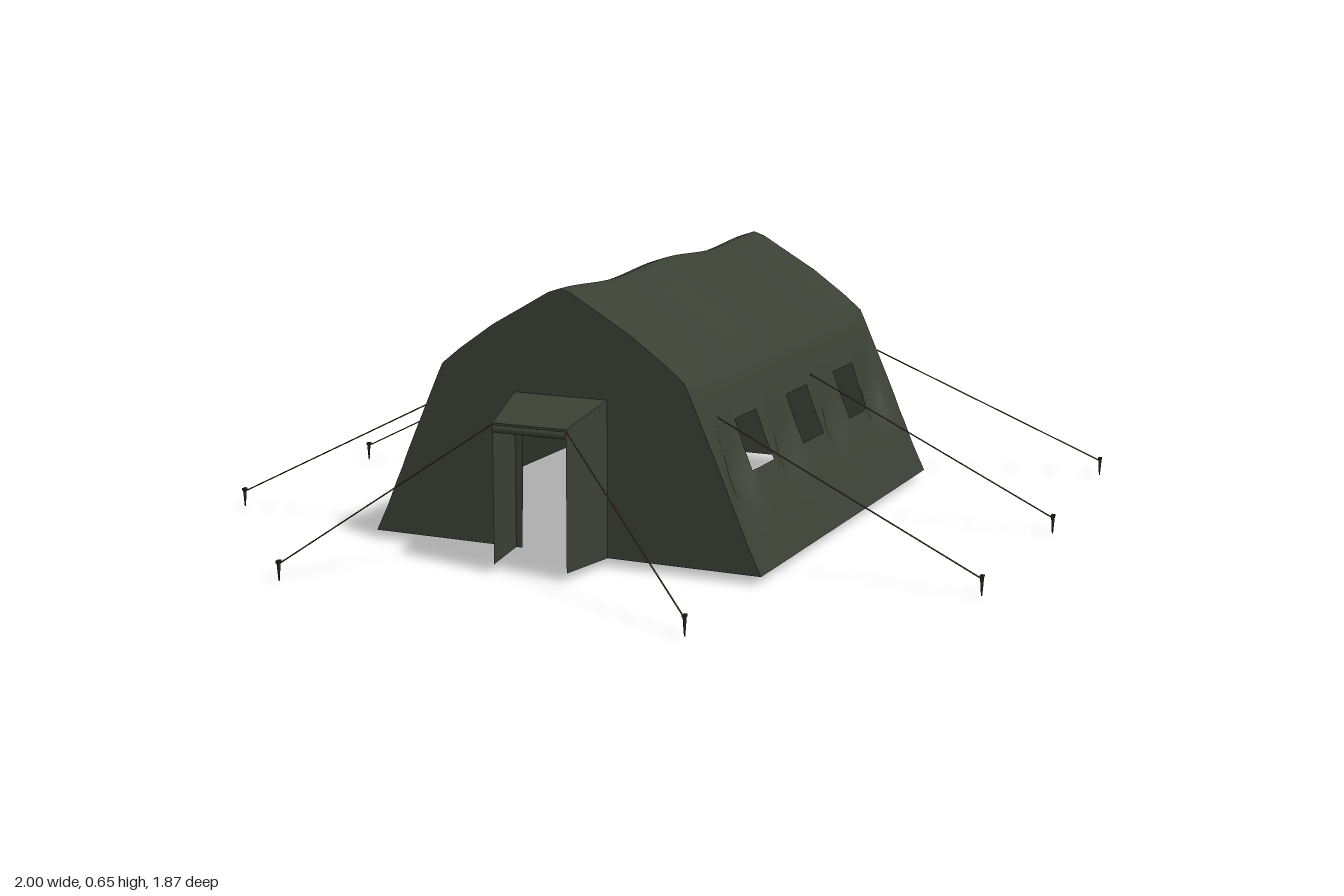
import * as THREE from 'three';

const canvas = new THREE.MeshStandardMaterial({ color: 0x3a4034, side: THREE.DoubleSide });
canvas.name = 'olive canvas';
const rope = new THREE.MeshStandardMaterial({ color: 0x4a3826 });
rope.name = 'brown rope';
const iron = new THREE.MeshStandardMaterial({ color: 0x2b2622 });
iron.name = 'dark iron';

const FRONT = 0.495, BACK = -0.7, BASE = 0.02;
// half of the cross-section, from ridge to ground
const HALF = [[0, 0.655], [0.03, 0.645], [0.09, 0.61], [0.18, 0.558], [0.27, 0.494], [0.318, 0.455],
  [0.33, 0.43], [0.35, 0.385], [0.37, 0.34], [0.397, 0.28], [0.423, 0.22], [0.437, 0.185],
  [0.453, 0.15], [0.478, 0.09], [0.512, BASE]];
const PROFILE = [...HALF.slice(1).reverse().map(([x, y]) => [-x, y]), ...HALF];
const WINDOWS = [[0.3, 0.17], [-0.03, -0.17], [-0.367, -0.512]];

function mesh(name, geometry, material) {
  const m = new THREE.Mesh(geometry, material);
  m.name = name;
  return m;
}

const bump = (v, centre, width) => {
  const t = Math.max(0, 1 - Math.abs(v - centre) / width);
  return t * t * (3 - 2 * t);
};

// smooth grid surface; skip(i, j) leaves a cell open
function grid(rows, cols, point, skip = () => false) {
  const pos = [], index = [];
  for (let j = 0; j < cols; j++) for (let i = 0; i < rows; i++) pos.push(...point(i, j));
  for (let j = 0; j < cols - 1; j++) for (let i = 0; i < rows - 1; i++) {
    if (skip(i, j)) continue;
    const a = j * rows + i, b = a + 1, c = a + rows, d = c + 1;
    index.push(a, b, c, b, d, c);
  }
  const g = new THREE.BufferGeometry();
  g.setAttribute('position', new THREE.Float32BufferAttribute(pos, 3));
  g.setIndex(index);
  g.computeVertexNormals();
  return g;
}

// roof and side walls: sagging ridge, walls drawn in between the gables
function shellGeometry() {
  const stops = [FRONT, 0.475, 0.44, 0.4, 0.35, ...WINDOWS.flat(), -0.56, -0.61, -0.65, -0.68, BACK];
  stops.sort((a, b) => b - a);
  const zs = [];
  stops.forEach((z, k) => {
    const next = stops[k + 1], n = next === undefined ? 1 : Math.ceil((z - next) / 0.04);
    for (let s = 0; s < n; s++) zs.push(next === undefined ? z : z + (next - z) * s / n);
  });
  const pockets = [0.37, 0.06, -0.27, -0.57];
  const point = (i, j) => {
    const [x, y] = PROFILE[i], z = zs[j];
    const edge = Math.min(1, Math.min(FRONT - z, z - BACK) / 0.09);
    const inward = edge * edge * (3 - 2 * edge);
    const sag = 0.014 * Math.sin(2 * Math.PI * (FRONT - z) / (FRONT - BACK)) ** 2;
    let pull = 0.012 * bump(y, 0.25, 0.2);
    for (const p of pockets) pull += 0.025 * bump(z, p, 0.09) * bump(y, 0.23, 0.1);
    const roof = 0.008 * bump(y, 0.5, 0.13);
    return [x - Math.sign(x) * inward * pull, y - sag * bump(y, 0.655, 0.25) - inward * roof, z];
  };
  const skip = (i, j) => {
    const y = (PROFILE[i][1] + PROFILE[i + 1][1]) / 2, z = (zs[j] + zs[j + 1]) / 2;
    return y > 0.22 && y < 0.34 && WINDOWS.some(([a, b]) => z < a && z > b);
  };
  return grid(PROFILE.length, zs.length, point, skip);
}

function gableGeometry(door) {
  const s = new THREE.Shape();
  PROFILE.forEach(([x, y], k) => (k ? s.lineTo(x, y) : s.moveTo(x, y)));
  if (door) for (const [x, y] of [[0.105, BASE], [0.1, 0.36], [-0.1, 0.36], [-0.105, BASE]]) s.lineTo(x, y);
  return new THREE.ShapeGeometry(s);
}

// guy line with an iron peg at its ground end
function guyLine(from, to) {
  const g = new THREE.Group();
  g.name = 'guyLine';
  const curve = new THREE.LineCurve3(new THREE.Vector3(...from), new THREE.Vector3(...to));
  g.add(mesh('cord', new THREE.TubeGeometry(curve, 1, 0.0018, 6), rope));
  const peg = mesh('peg', new THREE.CylinderGeometry(0.005, 0.0015, 0.046, 8), iron);
  peg.position.set(to[0], 0.023, to[2]);
  const head = mesh('pegHead', new THREE.BoxGeometry(0.008, 0.006, 0.014), iron);
  head.position.set(to[0], 0.046, to[2]);
  g.add(peg, head);
  return g;
}

export function createModel() {
  const tent = new THREE.Group();
  tent.name = 'tent';
  tent.add(mesh('roofAndWalls', shellGeometry(), canvas));

  const front = mesh('frontGable', gableGeometry(true), canvas);
  front.position.z = FRONT;
  const back = mesh('backGable', gableGeometry(false), canvas);
  back.position.z = BACK;
  back.rotation.y = Math.PI;
  tent.add(front, back);

  // entrance porch: two tapering side panels, sloping roof and rolled door
  const porch = new THREE.Group();
  porch.name = 'porch';
  const wallX = [0.122, 0.095], wallZ = [FRONT, 0.655], topY = [0.4, 0.358];
  for (const side of [-1, 1]) {
    const panel = grid(2, 2, (i, j) => [side * wallX[i], j ? topY[i] : BASE, wallZ[i]]);
    porch.add(mesh('porchSide', panel, canvas));
  }
  porch.add(mesh('porchRoof', grid(2, 2, (i, j) => [(i ? 1 : -1) * wallX[1 - j], topY[1 - j], wallZ[1 - j]]), canvas));
  const valance = mesh('porchValance', new THREE.PlaneGeometry(0.19, 0.022), canvas);
  valance.position.set(0, 0.347, 0.655);
  const roll = mesh('rolledDoor', new THREE.CylinderGeometry(0.01, 0.01, 0.19, 12), canvas);
  roll.rotation.z = Math.PI / 2;
  roll.position.set(0, 0.344, 0.65);
  porch.add(valance, roll);
  tent.add(porch);

  // guy lines, mirrored left and right
  for (const s of [-1, 1]) {
    tent.add(guyLine([s * 0.368, 0.345, BACK], [s * 0.945, 0.04, -0.93]));
    tent.add(guyLine([s * 0.355, 0.36, -0.215], [s * 0.995, 0.04, -0.245]));
    tent.add(guyLine([s * 0.355, 0.36, 0.388], [s * 0.995, 0.04, 0.365]));
    tent.add(guyLine([s * 0.095, 0.355, 0.655], [s * 0.512, 0.04, 0.925]));
  }
  return tent;
}
